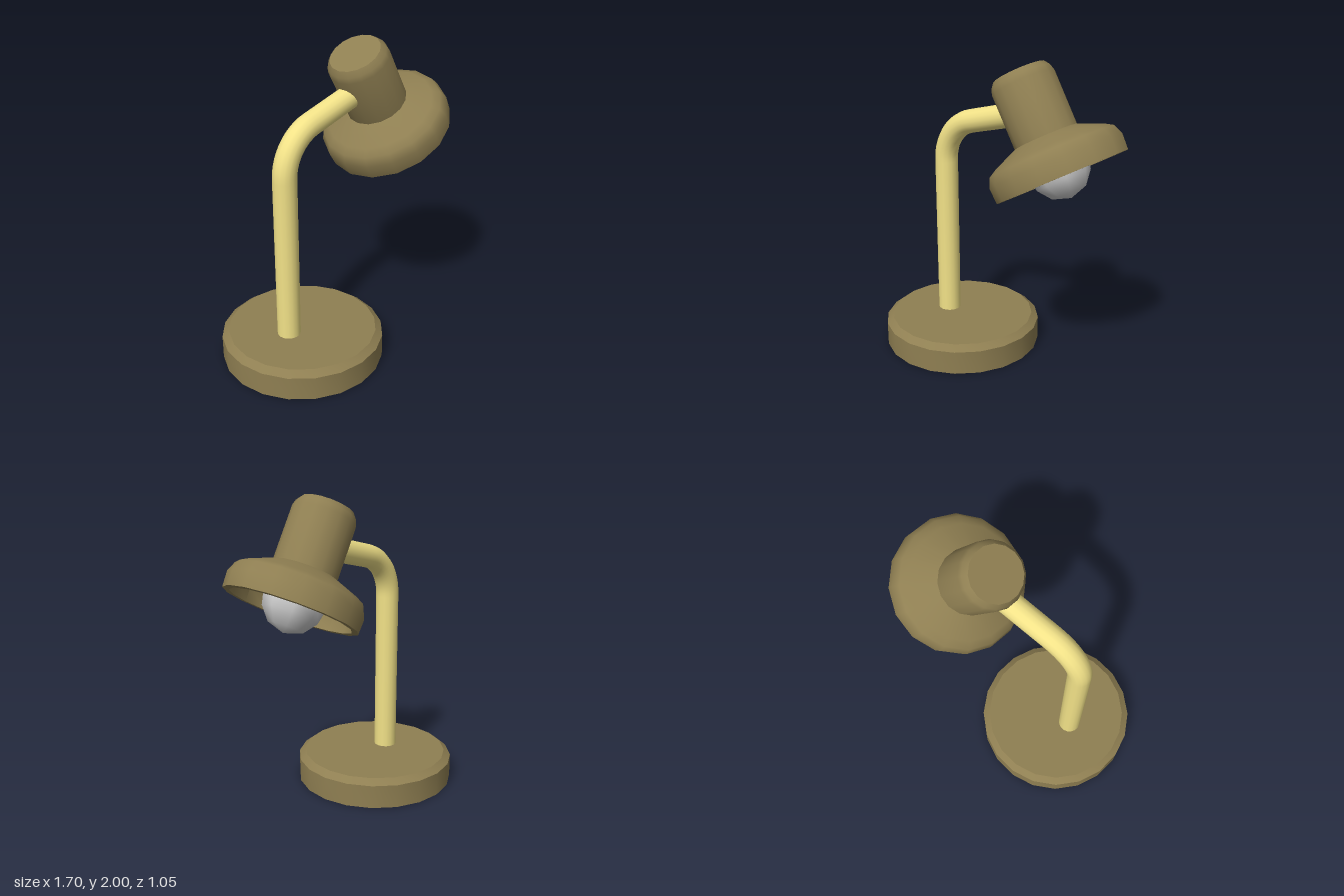
import * as THREE from 'three';
import { toCreasedNormals } from 'three/addons/utils/BufferGeometryUtils.js';

const bronze = new THREE.MeshStandardMaterial({ color: 0x8f7f52 });
const brass = new THREE.MeshStandardMaterial({ color: 0xf2e288 });
const grey = new THREE.MeshStandardMaterial({ color: 0xcccccc });

// Revolve a [radius, height] profile; listed upwards, it faces outwards
function turned(name, profile, sides, material, crease) {
  const points = profile.map(([r, y]) => new THREE.Vector2(r, y));
  const geometry = toCreasedNormals(new THREE.LatheGeometry(points, sides), crease);
  const mesh = new THREE.Mesh(geometry, material);
  mesh.name = name;
  return mesh;
}

export function createModel() {
  const model = new THREE.Group();
  model.name = 'deskLamp';

  // Round foot with a chamfered top edge
  const base = turned('base', [[0, 0], [0.525, 0], [0.525, 0.155], [0.48, 0.19], [0, 0.19]], 20, bronze, 0.5);
  base.position.x = -0.33;
  model.add(base);

  // Arm: upright, 75 degree bend, then a gently rising run into the head
  const tilt = THREE.MathUtils.degToRad(15);
  const along = new THREE.Vector3(Math.cos(tilt), Math.sin(tilt), 0);
  const bendStart = new THREE.Vector3(-0.45, 1.27, 0);
  const bendEnd = new THREE.Vector3(-0.228, 1.56, 0);
  const tip = bendEnd.clone().addScaledVector(along, 0.46);
  const handle = 0.136;
  const path = new THREE.CurvePath();
  path.add(new THREE.LineCurve3(new THREE.Vector3(-0.45, 0.15, 0), bendStart));
  path.add(new THREE.CubicBezierCurve3(
    bendStart,
    bendStart.clone().add(new THREE.Vector3(0, handle, 0)),
    bendEnd.clone().addScaledVector(along, -handle),
    bendEnd
  ));
  path.add(new THREE.LineCurve3(bendEnd, tip));
  const arm = new THREE.Mesh(new THREE.TubeGeometry(path, 64, 0.075, 16), brass);
  arm.name = 'arm';
  model.add(arm);

  // Tilted head, with its origin at the centre of the shade opening
  const head = new THREE.Group();
  head.name = 'head';
  head.position.set(0.485, 1.335, 0);
  head.rotation.z = Math.PI / 6;
  model.add(head);

  // Hollow shade: down the inside, round the rim and up the outside
  head.add(turned('shade', [
    [0, 0.62], [0.17, 0.58], [0.17, 0.23], [0.34, 0.16], [0.385, 0.1], [0.38, 0],
    [0.42, 0], [0.425, 0.1], [0.4, 0.16], [0.35, 0.19], [0.2, 0.255],
    [0.2, 0.6], [0.19, 0.635], [0.165, 0.668], [0, 0.668]
  ], 16, bronze, 0.75));

  // Bulb with a narrow neck
  head.add(turned('bulb', [
    [0, -0.135], [0.108, -0.1], [0.172, -0.02], [0.19, 0.06],
    [0.165, 0.15], [0.1, 0.22], [0.07, 0.3], [0.07, 0.4]
  ], 8, grey, 1.0));

  // Socket holding the bulb
  head.add(turned('socket', [[0, 0.36], [0.1, 0.36], [0.1, 0.6], [0, 0.6]], 12, grey, 0.6));

  return model;
}
